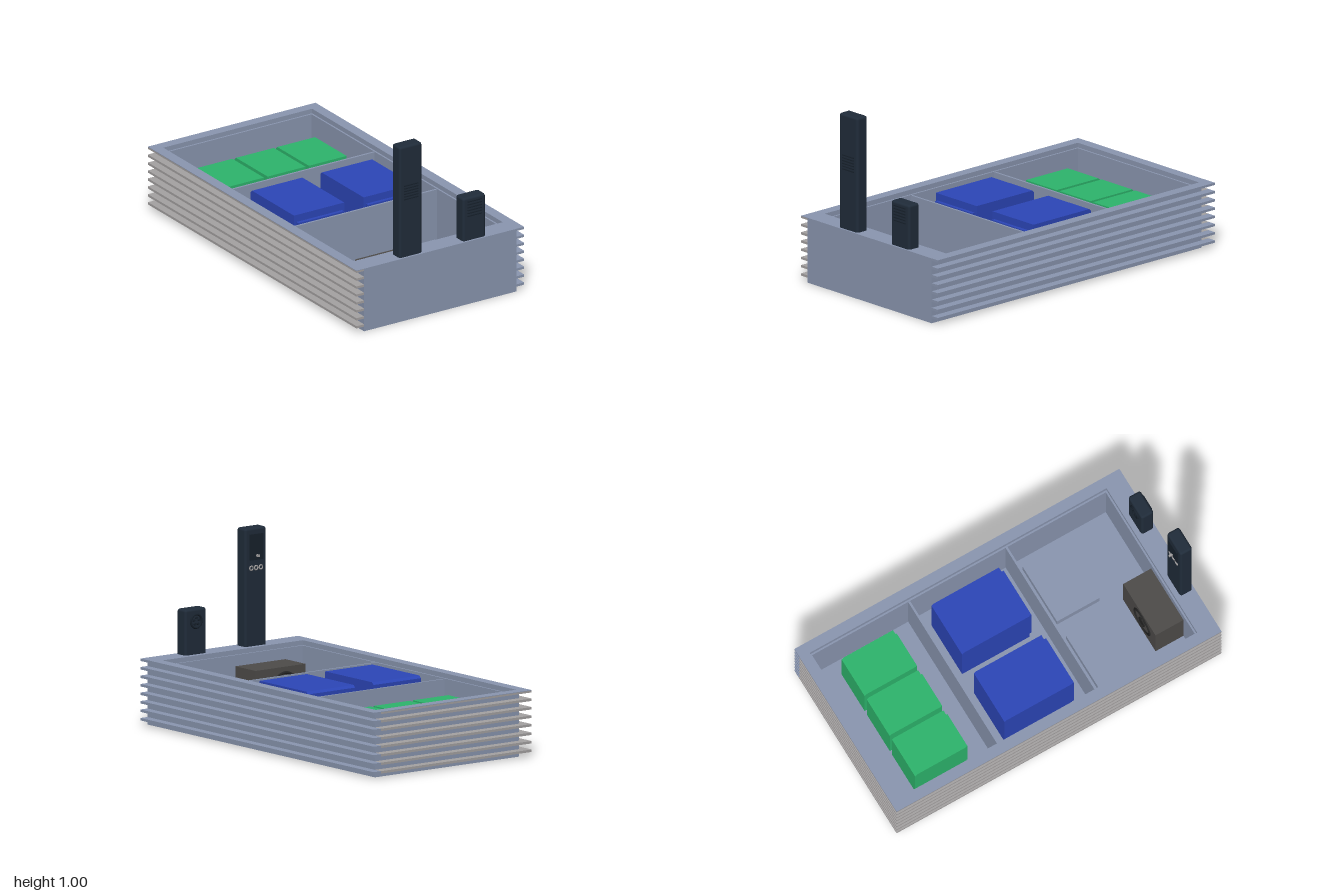
import * as THREE from 'three';
import { RoundedBoxGeometry } from 'three/addons/geometries/RoundedBoxGeometry.js';

const mat = (name, color) => {
  const m = new THREE.MeshStandardMaterial({ color });
  m.name = name;
  return m;
};

export function createModel() {
  const model = new THREE.Group();
  const steel = mat('blue grey', 0x8a96b0);
  const fin = mat('light grey', 0xa5a2a2);
  const navy = mat('dark navy', 0x202c3a);
  const black = mat('near black', 0x17212c);
  const blue = mat('blue', 0x2c46b8);
  const green = mat('green', 0x2db56c);
  const charcoal = mat('charcoal', 0x4e4c4a);
  const dark = mat('fan black', 0x262626);

  const add = (name, geometry, material, parent = model) => {
    const mesh = new THREE.Mesh(geometry, material);
    mesh.name = name;
    parent.add(mesh);
    return mesh;
  };
  // Box given by its limits on each axis
  const box = (name, m, [x0, x1], [y0, y1], [z0, z1], parent) => {
    const g = new THREE.BoxGeometry(x1 - x0, y1 - y0, z1 - z0);
    g.translate((x0 + x1) / 2, (y0 + y1) / 2, (z0 + z1) / 2);
    return add(name, g, m, parent);
  };
  // Rectangular frame lying flat: half width, back, front, then the same for the opening
  const rect = (P, w, b, f) => {
    const p = new P();
    p.moveTo(-w, -f); p.lineTo(w, -f); p.lineTo(w, -b); p.lineTo(-w, -b); p.closePath();
    return p;
  };
  const frame = (name, m, outer, inner, y0, y1) => {
    const s = rect(THREE.Shape, ...outer);
    s.holes.push(rect(THREE.Path, ...inner));
    const g = new THREE.ExtrudeGeometry(s, { depth: y1 - y0, bevelEnabled: false });
    g.rotateX(-Math.PI / 2).translate(0, y0, 0);
    return add(name, g, m);
  };

  // Tray: floor, walls with a stepped lip, and a flat top rim
  const body = [0.485, -0.95, 1];
  box('floor', steel, [-0.485, 0.485], [0, 0.03], [-0.95, 1]);
  frame('walls', steel, body, [0.463, -0.932, 0.875], 0.03, 0.335);
  frame('lip', steel, body, [0.473, -0.942, 0.885], 0.335, 0.358);
  frame('topRim', steel, [0.533, -1, 1], [0.473, -0.942, 0.885], 0.358, 0.361);

  // Cooling fins along both sides and the back
  for (let i = 0; i < 8; i++) {
    const y = 0.0275 + i * 0.0458;
    const h = [y, Math.min(y + 0.013, 0.358)];
    box('rightFin', steel, [0.484, 0.533], h, [-1, 1]);
    box('leftFin', fin, [-0.533, -0.484], h, [-1, 1]);
    box('backFin', fin, [-0.484, 0.484], h, [-1, -0.949]);
  }

  // Dividers and floor pads
  for (const z of [-0.335, 0.265])
    box('divider', steel, [-0.463, 0.463], [0.03, 0.332], [z - 0.006, z + 0.006]);
  for (const x of [-0.228, 0.228])
    box('floorPad', steel, [x - 0.18, x + 0.18], [0.03, 0.077], [0.33, 0.592]);

  // Battery blocks: chamfered body with a narrower strip on the front
  const battery = (name, m, x, w, z0, z1, top, lip) => {
    const g = new THREE.Group();
    g.name = name;
    const c = 0.013;
    const s = new THREE.Shape();
    s.moveTo(-z1, 0.03); s.lineTo(-z0, 0.03); s.lineTo(-z0, top - c);
    s.lineTo(-z0 - c, top); s.lineTo(-z1, top); s.closePath();
    const e = new THREE.ExtrudeGeometry(s, { depth: w, bevelEnabled: false });
    e.rotateY(Math.PI / 2).translate(x - w / 2, 0, 0);
    add('batteryCase', e, m, g);
    box('batteryFrontStrip', m, [x - w / 2 + 0.015, x + w / 2 - 0.015],
      [0.03, top - 0.04], [z1 - 0.002, z1 + lip], g);
    model.add(g);
  };
  for (const x of [-0.22, 0.223]) battery('blueBattery', blue, x, 0.32, -0.245, 0.17, 0.345, 0.02);
  for (const x of [-0.26, 0.004, 0.266]) battery('greenBattery', green, x, 0.24, -0.796, -0.48, 0.275, 0.015);

  // Fan unit with a ring on its back face
  box('fanHousing', charcoal, [-0.347, -0.01], [0.03, 0.275], [0.703, 0.875]);
  add('fanRing', new THREE.TorusGeometry(0.078, 0.008, 8, 32), dark).position.set(-0.21, 0.165, 0.703);
  add('fanHub', new THREE.CylinderGeometry(0.03, 0.03, 0.01, 24).rotateX(Math.PI / 2), dark)
    .position.set(-0.21, 0.165, 0.701);

  // Upright towers on the front rim, with a slatted vent facing forward
  const tower = (name, x, top, ventY, slats, step) => {
    const g = new THREE.Group();
    g.name = name;
    add('towerCase', new RoundedBoxGeometry(0.144, top - 0.34, 0.075, 2, 0.014), navy, g)
      .position.set(x, (top + 0.34) / 2, 0.951);
    for (let i = 0; i < slats; i++) {
      const y = ventY + i * step;
      box('ventSlat', black, [x - 0.044, x + 0.044], [y, y + 0.006], [0.987, 0.993], g);
    }
    model.add(g);
    return g;
  };
  const tall = tower('tallTower', -0.179, 0.998, 0.69, 6, 0.0155);
  const small = tower('smallTower', 0.225, 0.607, 0.498, 6, 0.0165);

  // Tall tower rear: display panel, lever and a row of round buttons
  box('displayPanel', black, [-0.224, -0.134], [0.825, 0.965], [0.906, 0.915], tall);
  box('lever', fin, [-0.184, -0.174], [0.843, 0.855], [0.885, 0.908], tall);
  for (const dx of [-0.032, 0, 0.032])
    add('button', new THREE.TorusGeometry(0.011, 0.004, 6, 16), fin, tall)
      .position.set(-0.179 + dx, 0.782, 0.912);

  // Small tower rear: round socket with pins
  add('socket', new THREE.TorusGeometry(0.036, 0.006, 8, 24), black, small).position.set(0.225, 0.54, 0.912);
  for (let i = 0; i < 5; i++) {
    const a = (i / 5) * Math.PI * 2 + Math.PI / 2;
    add('pin', new THREE.CylinderGeometry(0.007, 0.007, 0.01, 10).rotateX(Math.PI / 2), black, small)
      .position.set(0.225 + 0.018 * Math.cos(a), 0.54 + 0.018 * Math.sin(a), 0.911);
  }
  return model;
}
